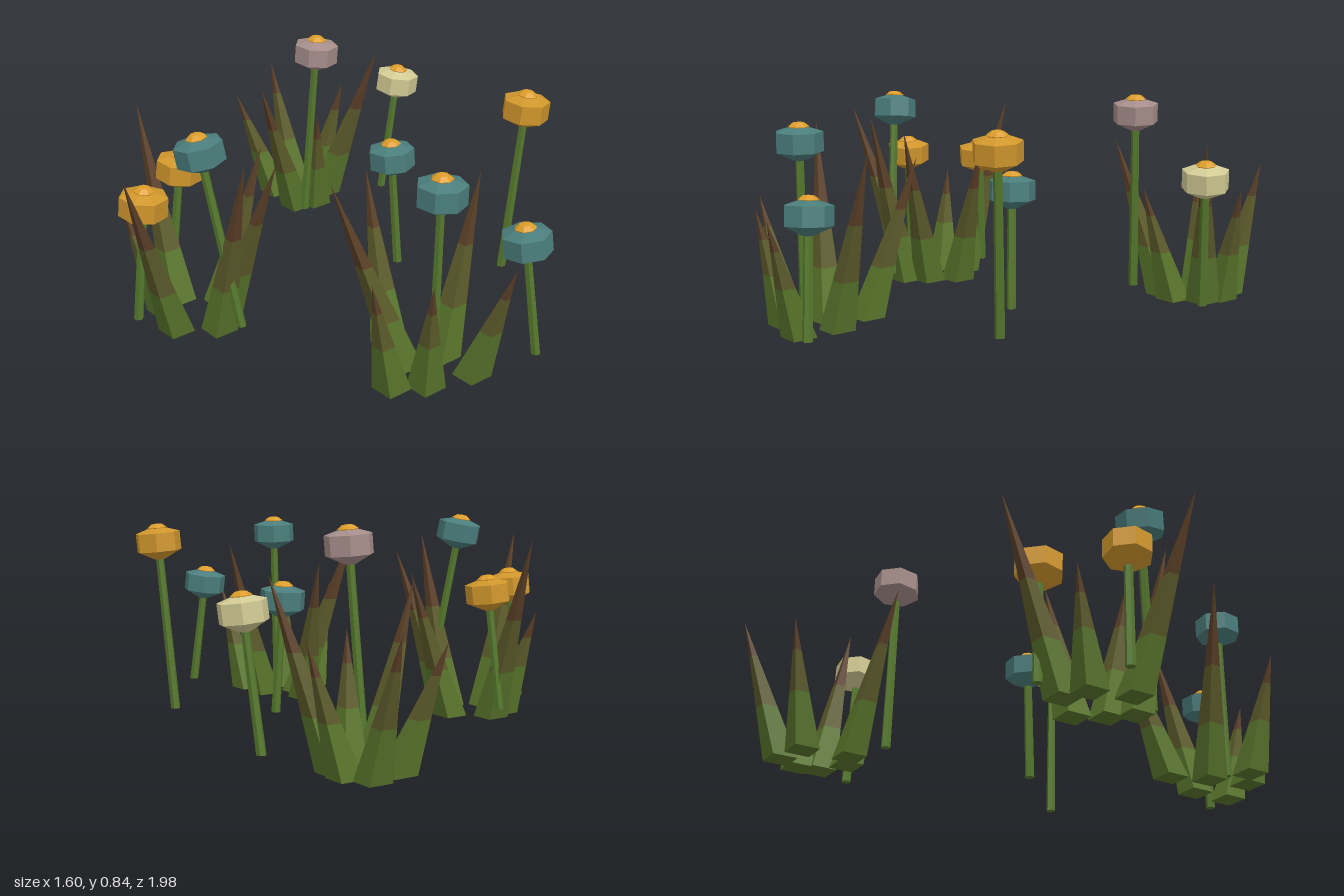
import * as THREE from 'three';

const mat = (name, color) => {
  const m = new THREE.MeshStandardMaterial({ color, flatShading: true });
  m.name = name;
  return m;
};

export function createModel() {
  const model = new THREE.Group();
  model.name = 'flowerPatch';

  const green = mat('leafGreen', 0x58742b);
  const olive = mat('leafOlive', 0x5c5a2a);
  const brown = mat('leafBrown', 0x5a3f27);
  const stemGreen = mat('stemGreen', 0x55782c);
  const teal = mat('tealPetals', 0x4a7e7c);
  const yellow = mat('yellowPetals', 0xd0962c);
  const cream = mat('creamPetals', 0xd2ca94);
  const mauve = mat('mauvePetals', 0xa58d8a);
  const orange = mat('flowerCentre', 0xdc9c2a);

  const add = (parent, name, geometry, material) => {
    const mesh = new THREE.Mesh(geometry, material);
    mesh.name = name;
    parent.add(mesh);
    return mesh;
  };

  // Upright prism between two heights, slid sideways in proportion to height
  const leaning = (r0, r1, y0, y1, sides, open, dx, dz) => {
    const g = new THREE.CylinderGeometry(r1, r0, y1 - y0, sides, 1, open);
    g.translate(0, (y0 + y1) / 2, 0);
    const p = g.attributes.position;
    for (let i = 0; i < p.count; i++) {
      const y = p.getY(i);
      p.setX(i, p.getX(i) + dx * y);
      p.setZ(i, p.getZ(i) + dz * y);
    }
    g.computeVertexNormals();
    return g;
  };

  // Four-sided pointed leaf, banded from green to brown
  const BASE = 0.07;
  const blade = (parent, [bx, bz, tx, h, tz]) => {
    const leaf = new THREE.Group();
    leaf.name = 'leaf';
    leaf.position.set(bx, 0, bz);
    const levels = [0, 0.2, Math.min(0.42, h * 0.75), h];
    const bands = [['leafBase', green], ['leafMiddle', olive], ['leafTip', brown]];
    bands.forEach(([name, material], i) => {
      const y0 = levels[i], y1 = levels[i + 1];
      const g = leaning(BASE * (1 - y0 / h), BASE * (1 - y1 / h), y0, y1, 4, i > 0,
        (tx - bx) / h, (tz - bz) / h);
      add(leaf, name, g, material);
    });
    parent.add(leaf);
  };

  // Leaf rows: base x, base z, tip x, tip height, tip z
  const clumps = {
    backClump: [
      [-0.30, -0.85, -0.418, 0.535, -0.99],
      [-0.20, -0.82, -0.08, 0.48, -0.89],
      [-0.15, -0.75, 0.085, 0.69, -0.74],
      [-0.37, -0.735, -0.54, 0.47, -0.73],
      [-0.26, -0.59, -0.376, 0.635, -0.383],
      [-0.18, -0.63, -0.15, 0.47, -0.5],
    ],
    sideClump: [
      [-0.62, 0.30, -0.785, 0.75, 0.12],
      [-0.45, 0.30, -0.296, 0.61, 0.177],
      [-0.42, 0.42, -0.196, 0.67, 0.484],
      [-0.42, 0.52, -0.285, 0.735, 0.643],
      [-0.655, 0.40, -0.796, 0.43, 0.39],
      [-0.58, 0.54, -0.68, 0.73, 0.80],
    ],
    frontClump: [
      [0.225, 0.565, 0.12, 0.62, 0.38],
      [0.42, 0.64, 0.538, 0.685, 0.49],
      [0.285, 0.71, 0.03, 0.745, 0.796],
      [0.53, 0.76, 0.667, 0.46, 0.83],
      [0.25, 0.87, 0.185, 0.47, 0.99],
      [0.37, 0.85, 0.39, 0.45, 0.95],
    ],
  };
  for (const [name, rows] of Object.entries(clumps)) {
    const clump = new THREE.Group();
    clump.name = name;
    rows.forEach((row) => blade(clump, row));
    model.add(clump);
  }

  // Seven-sided turned shapes for the flower heads
  const lathe = (points) => {
    const g = new THREE.LatheGeometry(points.map(([x, y]) => new THREE.Vector2(x, y)), 7);
    return g.rotateY(Math.PI / 2);
  };
  const headGeometry = lathe([[0, -0.075], [0.025, -0.068], [0.091, -0.036], [0.091, 0.038], [0.036, 0.056], [0, 0.058]]);
  const centreGeometry = lathe([[0.034, 0.045], [0.04, 0.058], [0.022, 0.072], [0, 0.075]]);

  // Flower rows: petals, head x, head y, z, stem foot x
  const flowers = [
    [cream, 0.175, 0.555, -0.735, 0.113],
    [mauve, -0.152, 0.77, -0.465, -0.207],
    [teal, 0.195, 0.507, 0, 0.225],
    [yellow, 0.707, 0.73, 0, 0.645],
    [teal, 0.702, 0.492, 0.67, 0.757],
    [teal, 0.403, 0.713, 0.772, 0.39],
    [teal, -0.455, 0.745, 0.57, -0.327],
    [yellow, -0.675, 0.522, 0.55, -0.72],
    [yellow, -0.607, 0.525, 0.22, -0.66],
  ];
  const FOOT = 0.05;
  for (const [petals, x, y, z, footX] of flowers) {
    const flower = new THREE.Group();
    flower.name = 'flower';
    const slope = (x - footX) / (y - FOOT);
    const stem = add(flower, 'stem', leaning(0.019, 0.016, 0, y - FOOT, 6, false, slope, 0), stemGreen);
    stem.position.set(footX, FOOT, z);

    const head = new THREE.Group();
    head.name = 'flowerHead';
    head.position.set(x, y, z);
    head.rotation.z = -Math.atan(slope);
    add(head, 'petals', headGeometry, petals);
    add(head, 'centre', centreGeometry, orange);
    flower.add(head);
    model.add(flower);
  }

  return model;
}
